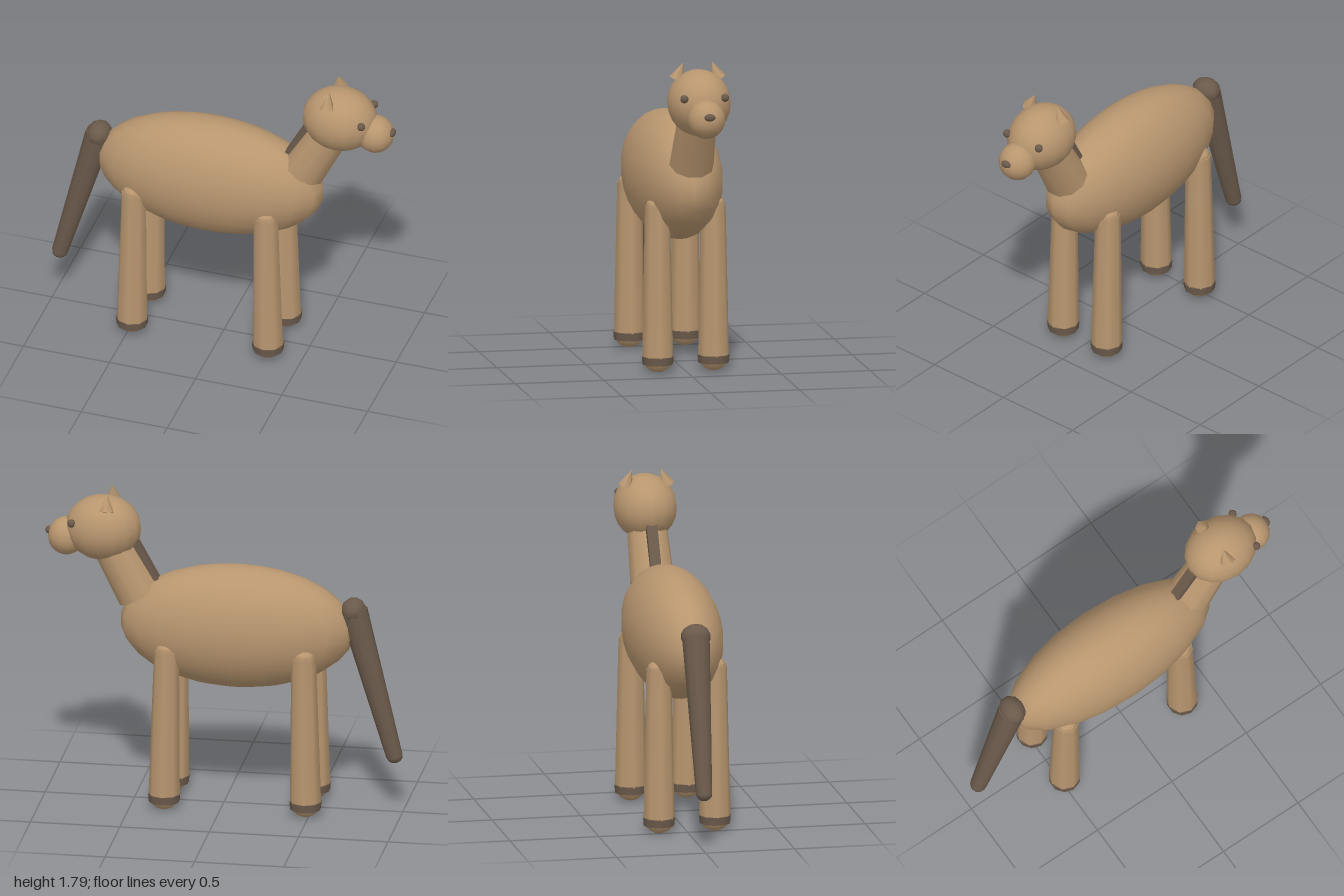
import * as THREE from 'three';

const tan = new THREE.MeshStandardMaterial({ color: 0xb8966f });
tan.name = 'tan coat';
const dark = new THREE.MeshStandardMaterial({ color: 0x6b5a4b });
dark.name = 'dark brown';

export function createModel() {
  const model = new THREE.Group();
  model.name = 'animal';

  const add = (name, geometry, material, parent = model) => {
    const mesh = new THREE.Mesh(geometry, material);
    mesh.name = name;
    parent.add(mesh);
    return mesh;
  };

  const ellipsoid = (name, material, [x, y, z], [rx, ry, rz], segments = 16, parent = model) => {
    const mesh = add(name, new THREE.SphereGeometry(1, segments, Math.max(6, segments * 0.75)), material, parent);
    mesh.position.set(x, y, z);
    mesh.scale.set(rx, ry, rz);
    return mesh;
  };

  // Tapered limb running from point a to point b
  const limb = (name, material, a, b, ra, rb, sides, parent = model) => {
    const start = new THREE.Vector3(...a);
    const end = new THREE.Vector3(...b);
    const axis = end.clone().sub(start);
    const mesh = add(name, new THREE.CylinderGeometry(rb, ra, axis.length(), sides), material, parent);
    mesh.position.copy(start).add(end).multiplyScalar(0.5);
    mesh.quaternion.setFromUnitVectors(new THREE.Vector3(0, 1, 0), axis.normalize());
    return mesh;
  };

  // Body
  ellipsoid('body', tan, [-0.075, 1.04, 0], [0.655, 0.35, 0.258], 20);

  // Neck with a thin mane along its back
  limb('neck', tan, [0.47, 1.19, 0], [0.64, 1.5, 0], 0.125, 0.11, 10);
  const mane = add('mane', new THREE.BoxGeometry(0.07, 0.36, 0.06), dark);
  mane.position.set(0.455, 1.39, 0);
  mane.rotation.z = -0.5;

  // Head, muzzle and nose
  ellipsoid('head', tan, [0.675, 1.572, 0], [0.212, 0.184, 0.176], 16);
  ellipsoid('muzzle', tan, [0.88, 1.512, 0], [0.105, 0.107, 0.105], 14);
  ellipsoid('nose', dark, [0.978, 1.54, 0], [0.02, 0.021, 0.032], 10);

  for (const side of [1, -1]) {
    const label = side > 0 ? 'Front' : 'Back';
    ellipsoid('eye' + label, dark, [0.835, 1.623, side * 0.115], [0.023, 0.023, 0.023], 10);

    // Small pointed ears
    limb('ear' + label, tan, [0.638, 1.70, side * 0.118], [0.638, 1.79, side * 0.082], 0.044, 0.001, 6);

    // Legs with rounded ends and a dark band above each foot
    for (const [x, topX, pair] of [[0.308, 0.295, 'fore'], [-0.482, -0.472, 'hind']]) {
      const leg = new THREE.Group();
      leg.name = pair + 'Leg' + label;
      model.add(leg);
      const z = side * 0.157;
      limb('shaft', tan, [x, 0.085, z], [topX, 0.93, z], 0.087, 0.07, 8, leg);
      ellipsoid('shoulder', tan, [topX, 0.93, z], [0.066, 0.05, 0.066], 8, leg);
      ellipsoid('foot', tan, [x, 0.07, z], [0.08, 0.07, 0.08], 12, leg);
      limb('hoofBand', dark, [x, 0.045, z], [x, 0.09, z], 0.086, 0.09, 10, leg);
    }
  }

  // Tail with rounded root and tip
  ellipsoid('tailRoot', dark, [-0.725, 1.165, 0], [0.07, 0.07, 0.085], 10);
  limb('tail', dark, [-0.953, 0.325, 0], [-0.725, 1.165, 0], 0.046, 0.078, 10);
  ellipsoid('tailTip', dark, [-0.953, 0.325, 0], [0.046, 0.04, 0.046], 10);

  return model;
}
